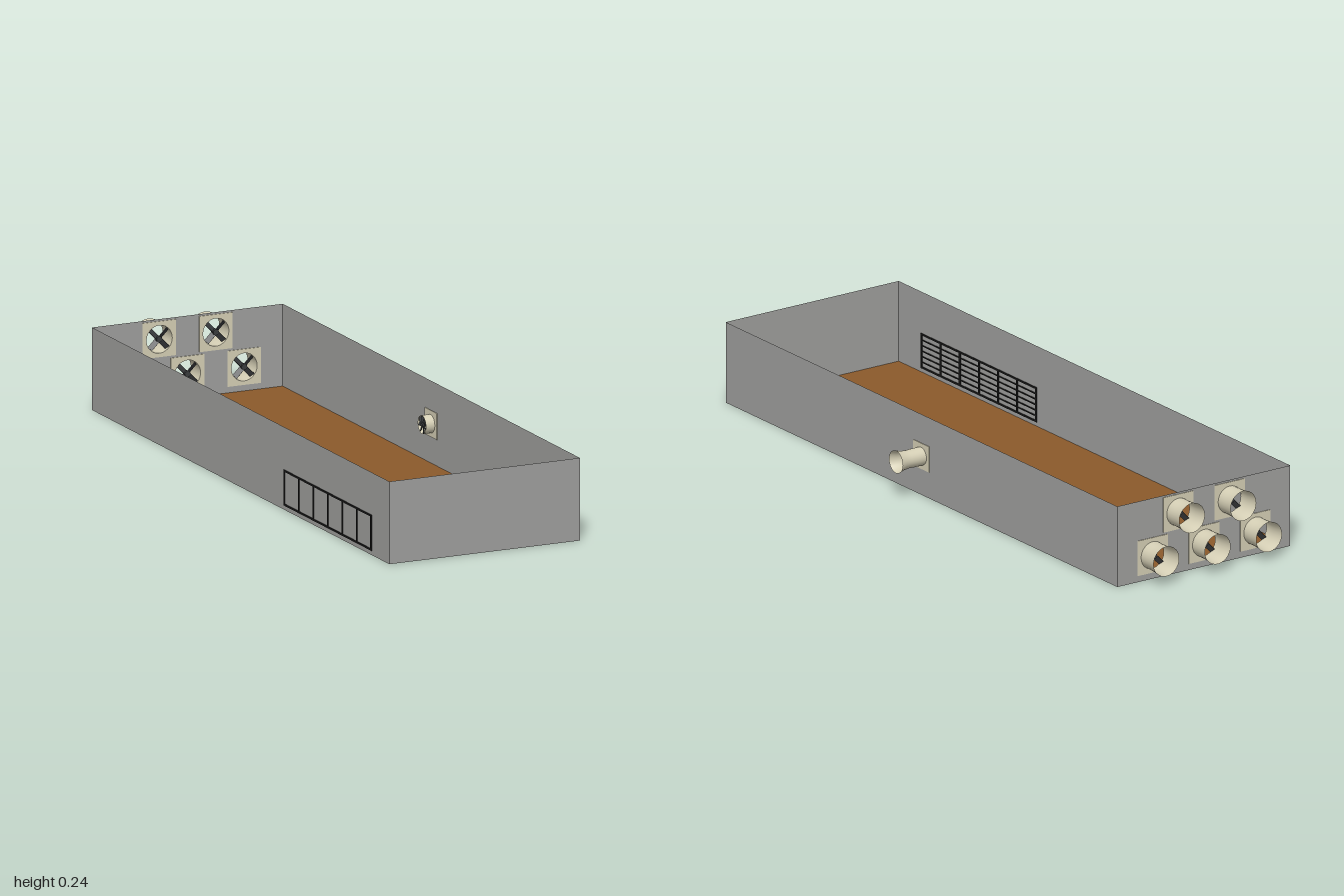
import * as THREE from 'three';

const X0 = -0.349, X1 = 0.257, Z0 = -0.931, Z1 = 1, H = 0.244;
const CX = (X0 + X1) / 2, CZ = (Z0 + Z1) / 2;

const wallGrey = new THREE.MeshStandardMaterial({ color: 0xa0a09e, side: THREE.DoubleSide });
const floorBrown = new THREE.MeshStandardMaterial({ color: 0x8b5a2b, side: THREE.DoubleSide });
const housingCream = new THREE.MeshStandardMaterial({ color: 0xd6d0b6, side: THREE.DoubleSide });
const bladeDark = new THREE.MeshStandardMaterial({ color: 0x3a3c3e, side: THREE.DoubleSide });
const ventBlack = new THREE.MeshStandardMaterial({ color: 0x1c1c1c });

function add(parent, name, geometry, material, x = 0, y = 0, z = 0) {
  const mesh = new THREE.Mesh(geometry, material);
  mesh.name = name;
  mesh.position.set(x, y, z);
  parent.add(mesh);
  return mesh;
}

// Upright rectangle with round holes given as [x, y, radius]
function panel(x0, x1, y0, y1, holes = []) {
  const s = new THREE.Shape();
  s.moveTo(x0, y0).lineTo(x1, y0).lineTo(x1, y1).lineTo(x0, y1).closePath();
  for (const [x, y, r] of holes) s.holes.push(new THREE.Path().absarc(x, y, r, 0, Math.PI * 2, true));
  return s;
}

function addWall(parent, name, width, x, z, angle, holes) {
  const geometry = new THREE.ShapeGeometry(panel(-width / 2, width / 2, 0, H, holes), 24);
  add(parent, name, geometry, wallGrey, x, 0, z).rotation.y = angle;
}

// Fan blowing along local +z: plate, flared duct, hub and pitched blades
function makeFan(name, { plate, radius, profile, blades, bladeZ, bladeWidth }) {
  const fan = new THREE.Group();
  fan.name = name;
  const p = plate / 2;
  const plateGeometry = new THREE.ExtrudeGeometry(panel(-p, p, -p, p, [[0, 0, radius]]),
    { depth: 0.004, bevelEnabled: false, curveSegments: 24 });
  add(fan, 'mountingPlate', plateGeometry, housingCream, 0, 0, -0.002);

  const duct = new THREE.LatheGeometry(profile.map(([r, z]) => new THREE.Vector2(r, z)), 28);
  add(fan, 'duct', duct.rotateX(Math.PI / 2), housingCream);

  const hub = new THREE.CylinderGeometry(radius * 0.22, radius * 0.22, 0.014, 16);
  add(fan, 'hub', hub.rotateX(Math.PI / 2), bladeDark, 0, 0, bladeZ);
  const blade = new THREE.BoxGeometry(bladeWidth, radius * 0.82, 0.002);
  blade.rotateY(0.6).translate(0, radius * 0.55, 0);
  for (let i = 0; i < blades; i++) {
    add(fan, 'blade', blade, bladeDark, 0, 0, bladeZ).rotation.z = Math.PI / 4 + i * Math.PI * 2 / blades;
  }
  return fan;
}

export function createModel() {
  const model = new THREE.Group();
  model.name = 'ventilatedShed';

  // Floor
  add(model, 'floor', new THREE.PlaneGeometry(X1 - X0, Z1 - Z0).rotateX(-Math.PI / 2), floorBrown, CX, 0.001, CZ);

  // Back fans: three below, two above; offsets from the wall centre
  const spots = [[-0.18, 0.072], [0, 0.072], [0.18, 0.072], [-0.09, 0.185], [0.09, 0.185]];
  const R = 0.041, sideR = 0.027, sideY = 0.118;

  // Walls
  addWall(model, 'frontWall', X1 - X0, CX, Z1, 0);
  addWall(model, 'backWall', X1 - X0, CX, Z0, Math.PI, spots.map(([x, y]) => [x, y, R]));
  addWall(model, 'fanSideWall', Z1 - Z0, X1, CZ, Math.PI / 2, [[0, sideY, sideR]]);
  addWall(model, 'ventSideWall', Z1 - Z0, X0, CZ, -Math.PI / 2);

  for (const [x, y] of spots) {
    const fan = makeFan('backFan', {
      plate: 0.106, radius: R, blades: 4, bladeZ: 0.004, bladeWidth: 0.016,
      profile: [[0.041, 0], [0.041, 0.03], [0.042, 0.05], [0.045, 0.069]],
    });
    fan.position.set(CX + x, y, Z0);
    fan.rotation.y = Math.PI;
    model.add(fan);
  }

  // Side fan, its duct reaching a little way indoors
  const sideFan = makeFan('sideFan', {
    plate: 0.078, radius: sideR, blades: 8, bladeZ: -0.024, bladeWidth: 0.015,
    profile: [[0.027, -0.03], [0.027, 0.03], [0.026, 0.05], [0.028, 0.07], [0.034, 0.09]],
  });
  sideFan.position.set(X1, sideY, CZ);
  sideFan.rotation.y = Math.PI / 2;
  model.add(sideFan);

  // Air inlet: six framed bays with slats on the indoor side
  const vent = new THREE.Group();
  vent.name = 'airInlet';
  const v0 = 0.32, v1 = 0.885, yLow = 0.016, yHigh = 0.116, t = 0.006;
  for (let i = 0; i <= 6; i++) {
    add(vent, 'ventPost', new THREE.BoxGeometry(0.006, yHigh - yLow, t), ventBlack,
      X0, (yLow + yHigh) / 2, v0 + (v1 - v0) * i / 6);
  }
  for (const y of [yLow, yHigh]) {
    add(vent, 'ventRail', new THREE.BoxGeometry(0.006, 0.005, v1 - v0 + t), ventBlack, X0, y, (v0 + v1) / 2);
  }
  for (let i = 1; i < 6; i++) {
    add(vent, 'ventSlat', new THREE.BoxGeometry(0.003, 0.003, v1 - v0), ventBlack,
      X0 + 0.002, yLow + (yHigh - yLow) * i / 6, (v0 + v1) / 2);
  }
  model.add(vent);
  return model;
}
